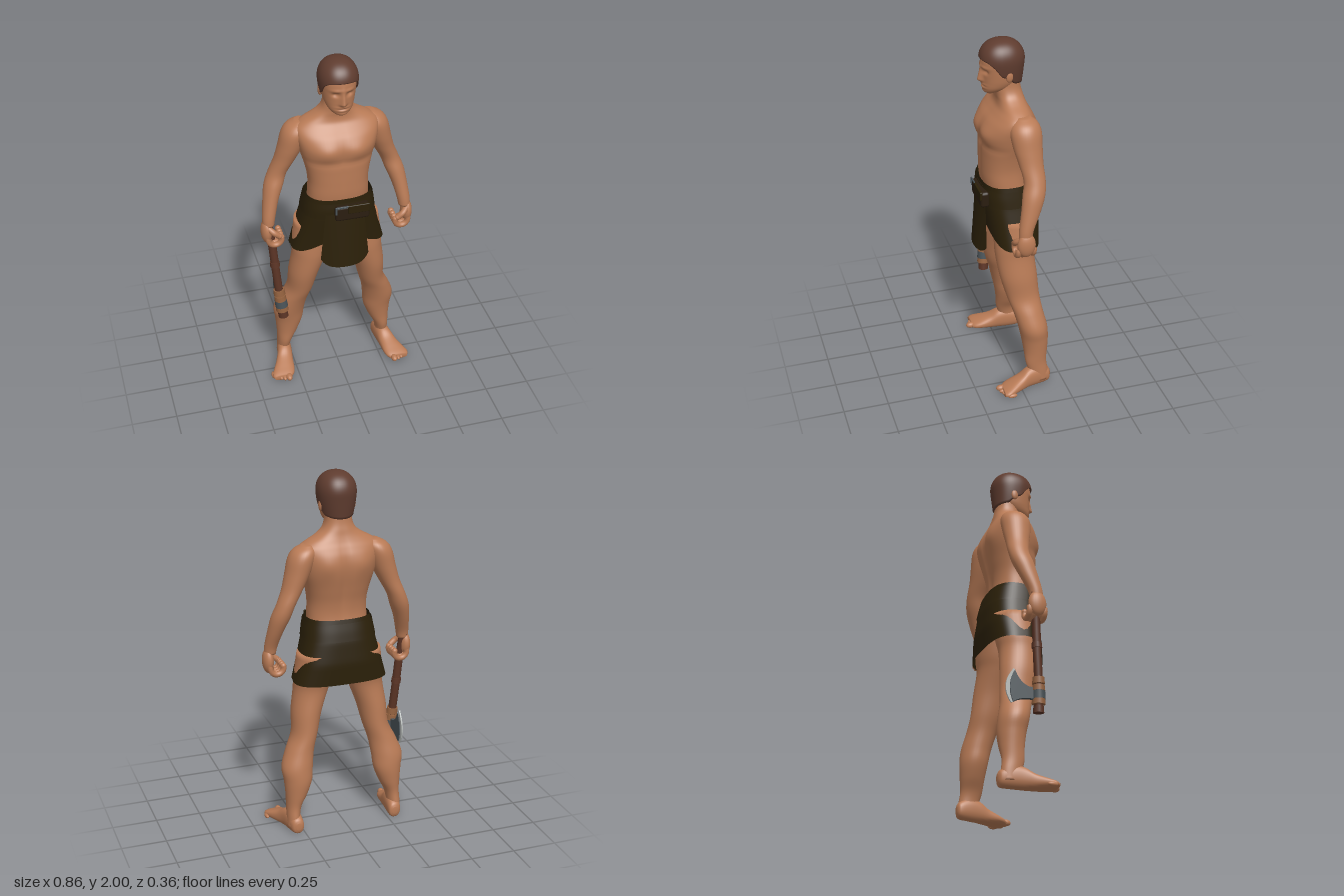
import * as THREE from 'three';
import { RoundedBoxGeometry } from 'three/addons/geometries/RoundedBoxGeometry.js';

const mat = (name, color, side = THREE.FrontSide) => {
  const m = new THREE.MeshStandardMaterial({ color, side });
  m.name = name;
  return m;
};
const V = (x, y, z) => new THREE.Vector3(x, y, z);
const bell = (d, w) => Math.exp(-(d * d) / (w * w));
const spow = (c, e) => Math.sign(c) * Math.pow(Math.abs(c), 2 / e);

// Closed-around grid surface; fn(v, angle) gives a point, v runs from bottom to top
function surface(rows, cols, fn, { caps = false, flip = false } = {}) {
  const pos = [], idx = [];
  const tri = (a, b, c) => (flip ? idx.push(a, c, b) : idx.push(a, b, c));
  for (let i = 0; i <= rows; i++)
    for (let j = 0; j < cols; j++) pos.push(...fn(i / rows, (j / cols) * Math.PI * 2).toArray());
  for (let i = 0; i < rows; i++)
    for (let j = 0; j < cols; j++) {
      const a = i * cols + j, b = i * cols + ((j + 1) % cols);
      tri(a, a + cols, b);
      tri(b, a + cols, b + cols);
    }
  if (caps)
    for (const row of [0, rows]) {
      const c = V(0, 0, 0), n = pos.length / 3;
      for (let j = 0; j < cols; j++) c.add(V(0, 0, 0).fromArray(pos, (row * cols + j) * 3));
      pos.push(...c.divideScalar(cols).toArray());
      for (let j = 0; j < cols; j++) {
        const a = row * cols + j, b = row * cols + ((j + 1) % cols);
        row ? tri(a, n, b) : tri(a, b, n);
      }
    }
  const g = new THREE.BufferGeometry();
  g.setAttribute('position', new THREE.Float32BufferAttribute(pos, 3));
  g.setIndex(idx);
  g.computeVertexNormals();
  return g;
}

// Smooth loft through level cross-sections [x, y, z, radiusX, radiusZ]
function loft(keys, { cols = 32, sub = 5, e = 2, warp, caps = true } = {}) {
  const curve = (pts) => new THREE.CatmullRomCurve3(pts, false, 'catmullrom', 0.5);
  const mid = curve(keys.map((k) => V(k[0], k[1], k[2])));
  const rad = curve(keys.map((k) => V(k[3], k[4], 0)));
  const flip = keys[keys.length - 1][1] < keys[0][1];
  return surface((keys.length - 1) * sub, cols, (v, a) => {
    const p = mid.getPoint(v), r = rad.getPoint(v);
    p.x += r.x * spow(Math.cos(a), e);
    p.z += r.y * spow(Math.sin(a), e);
    if (warp) warp(p, a);
    return p;
  }, { caps, flip });
}
// Section given by its front and back depth
const band = (y, front, back, rx) => [0, y, (front + back) / 2, rx, (front - back) / 2];

export function createModel() {
  const model = new THREE.Group();
  const skin = mat('skin', 0xb97b56), hairMat = mat('hair', 0x5f3c2f, THREE.DoubleSide);
  const leather = mat('dark leather', 0x2b2009, THREE.DoubleSide), pouchMat = mat('pouch leather', 0x2a1d10);
  const wood = mat('wood', 0x5b3425), steel = mat('steel', 0x4a5358);
  const edgeMat = mat('sharpened edge', 0xb4b8b6), cord = mat('cord', 0x94623f);
  const add = (name, geo, m, parent = model) => {
    const mesh = new THREE.Mesh(geo, m);
    mesh.name = name;
    parent.add(mesh);
    return mesh;
  };
  const ball = (name, m, parent, p, s) => {
    const b = add(name, new THREE.SphereGeometry(1, 20, 14), m, parent);
    b.position.set(...p);
    b.scale.set(...s);
    return b;
  };
  const tube = (pts, r, seg = 16) => new THREE.TubeGeometry(new THREE.CatmullRomCurve3(pts), seg, r, 10);

  // Torso and neck, with chest, spine and shoulder-blade relief
  add('torso', loft([
    band(1.0, 0.09, -0.14, 0.17), band(1.12, 0.115, -0.125, 0.168), band(1.22, 0.132, -0.108, 0.164),
    band(1.3, 0.135, -0.112, 0.163), band(1.38, 0.135, -0.13, 0.177), band(1.46, 0.135, -0.148, 0.2),
    band(1.52, 0.134, -0.153, 0.215), band(1.57, 0.113, -0.145, 0.225), band(1.61, 0.078, -0.128, 0.222),
    band(1.64, 0.055, -0.112, 0.185), band(1.67, 0.048, -0.1, 0.13), band(1.7, 0.05, -0.092, 0.092),
    band(1.74, 0.052, -0.082, 0.074), band(1.8, 0.04, -0.075, 0.07),
  ], {
    cols: 72, e: 2.4,
    warp: (p) => {
      const ax = Math.abs(p.x);
      if (p.z > 0.02) p.z += 0.016 * bell(ax - 0.085, 0.07) * bell(p.y - 1.5, 0.05)
        - 0.006 * bell(p.y - 1.435, 0.02) - 0.006 * bell(p.x, 0.015) * bell(p.y - 1.38, 0.17);
      if (p.z < -0.04) p.z += 0.014 * bell(p.x, 0.022) * bell(p.y - 1.42, 0.18)
        - 0.008 * bell(ax - 0.1, 0.05) * bell(p.y - 1.52, 0.06);
    },
  }), skin);

  // Head with brow, eye sockets, nose, mouth and chin
  add('head', loft([
    band(1.708, 0.098, 0.05, 0.022), band(1.722, 0.112, 0.015, 0.045), band(1.745, 0.118, -0.03, 0.066),
    band(1.775, 0.119, -0.065, 0.079), band(1.81, 0.121, -0.08, 0.086), band(1.85, 0.125, -0.088, 0.091),
    band(1.89, 0.126, -0.09, 0.094), band(1.93, 0.115, -0.085, 0.088), band(1.965, 0.08, -0.055, 0.06),
    band(1.98, 0.03, -0.01, 0.02),
  ], {
    cols: 96, sub: 7, e: 2.15,
    warp: (p) => {
      if (p.z < 0.04) return;
      const ax = Math.abs(p.x), t = (1.858 - p.y) / 0.07;
      const ridge = t > 0 && t < 1 ? 0.006 + 0.022 * t : t >= 1 ? 0.028 * bell(t - 1, 0.2) : 0.006 * bell(t, 0.3);
      p.z += ridge * bell(p.x, 0.011 + 0.006 * Math.max(0, Math.min(1, t)));
      p.z -= 0.014 * bell(ax - 0.036, 0.018) * bell(p.y - 1.838, 0.012);
      p.z += 0.006 * bell(ax - 0.035, 0.03) * bell(p.y - 1.862, 0.009);
      p.z += 0.006 * bell(p.x, 0.03) * (bell(p.y - 1.763, 0.007) + bell(p.y - 1.745, 0.007));
      p.z -= 0.005 * bell(p.x, 0.028) * bell(p.y - 1.754, 0.004);
      p.z += 0.005 * bell(p.x, 0.025) * bell(p.y - 1.722, 0.012);
    },
  }), skin);

  // Hair cap whose lower edge falls from forehead to nape
  const hairline = [[-1, 1.76], [-0.4, 1.775], [-0.05, 1.81], [0.2, 1.825], [0.5, 1.875], [0.75, 1.9], [1, 1.907]];
  const lineAt = (c) => {
    const i = Math.max(1, hairline.findIndex((h) => c <= h[0] + 1e-9));
    const [a, b] = [hairline[i - 1], hairline[i]];
    return a[1] + ((b[1] - a[1]) * (c - a[0])) / (b[0] - a[0]);
  };
  add('hair', surface(22, 64, (v, a) => {
    const low = lineAt(Math.sin(a)), w = Math.max(0, (v - 0.06) / 0.94);
    const y = 2 - (2 - low) * (1 - Math.cos(((1 - w) * Math.PI) / 2));
    const t = Math.min(1, Math.max(0, (y - 1.89) / 0.11)), d = Math.max(0, (1.89 - y) / 0.13);
    const dome = Math.pow(1 - Math.pow(t, 2.2), 1 / 2.2) * (v === 0 ? 0.86 : 1);
    return V(0.105 * (1 - 0.2 * d ** 1.5) * dome * spow(Math.cos(a), 2.2), y,
      0.015 + 0.12 * (1 - 0.12 * d) * dome * spow(Math.sin(a), 2.2));
  }), hairMat);

  // Limbs, made once for each side
  for (const s of [1, -1]) {
    const side = s > 0 ? 'left' : 'right';
    const flipX = (keys) => keys.map(([x, ...r]) => [x * s, ...r]);
    ball(side + 'Ear', skin, model, [s * 0.092, 1.822, 0], [0.011, 0.032, 0.02]);

    add(side + 'Arm', loft(flipX([
      [0.385, 1.03, 0, 0.032, 0.036], [0.379, 1.08, -0.008, 0.036, 0.04], [0.361, 1.17, -0.036, 0.043, 0.052],
      [0.338, 1.25, -0.058, 0.052, 0.06], [0.312, 1.32, -0.07, 0.051, 0.058], [0.274, 1.4, -0.062, 0.057, 0.065],
      [0.243, 1.48, -0.054, 0.067, 0.077], [0.218, 1.56, -0.05, 0.073, 0.083], [0.2, 1.605, -0.05, 0.063, 0.068],
      [0.185, 1.633, -0.05, 0.03, 0.035],
    ])), skin);

    // Curled hand, open through the fist
    const hand = new THREE.Group();
    hand.name = side + 'Hand';
    model.add(hand);
    ball('backOfHand', skin, hand, [s * 0.397, 0.99, -0.002], [0.031, 0.07, 0.05]);
    for (let i = 0; i < 4; i++) {
      const pts = [];
      for (let k = 0; k <= 9; k++) {
        const a = 0.45 - k * 0.43;
        pts.push(V(s * (0.358 + 0.036 * Math.cos(a)), 0.955 + 0.036 * Math.sin(a), -0.043 + i * 0.028));
      }
      add('finger', tube(pts, 0.0165), skin, hand);
      ball('fingertip', skin, hand, pts[9].toArray(), [0.0165, 0.0165, 0.0165]);
    }
    add('thumb', tube([V(s * 0.39, 1.02, 0.025), V(s * 0.365, 1.0, 0.045), V(s * 0.335, 0.975, 0.045)], 0.0165), skin, hand);
    ball('thumbTip', skin, hand, [s * 0.335, 0.975, 0.045], [0.0165, 0.0165, 0.0165]);

    add(side + 'Leg', loft(flipX([
      [0.298, 0.03, -0.115, 0.038, 0.058], [0.299, 0.09, -0.108, 0.036, 0.056], [0.292, 0.15, -0.097, 0.042, 0.06],
      [0.276, 0.22, -0.098, 0.061, 0.067], [0.265, 0.3, -0.095, 0.079, 0.076], [0.265, 0.38, -0.083, 0.088, 0.081],
      [0.242, 0.47, -0.062, 0.079, 0.083], [0.209, 0.56, -0.042, 0.072, 0.092], [0.19, 0.68, -0.022, 0.083, 0.104],
      [0.16, 0.8, -0.01, 0.096, 0.108], [0.145, 0.88, -0.015, 0.108, 0.115], [0.12, 1.02, -0.025, 0.115, 0.12],
    ])), skin);

    // Foot runs from heel to toes along z, with a flat sole
    const foot = loft(flipX([
      [0.287, -0.18, -0.045, 0.015, 0.02], [0.289, -0.165, -0.045, 0.034, 0.045], [0.296, -0.11, -0.055, 0.041, 0.062],
      [0.305, -0.05, -0.052, 0.044, 0.06], [0.318, 0.0, -0.036, 0.051, 0.044], [0.334, 0.055, -0.026, 0.062, 0.03],
      [0.345, 0.09, -0.02, 0.063, 0.022], [0.35, 0.112, -0.016, 0.05, 0.016],
    ]), { e: 2.3 });
    foot.rotateX(Math.PI / 2);
    const fp = foot.attributes.position;
    for (let i = 0; i < fp.count; i++) fp.setY(i, Math.max(0, fp.getY(i)));
    foot.computeVertexNormals();
    add(side + 'Foot', foot, skin);
    for (let i = 0; i < 5; i++) {
      const r = i ? 0.0125 : 0.018;
      ball(side + 'Toe', skin, model, [s * (0.318 + i * 0.019 + (i ? 0.006 : 0)), r, 0.116 - i * 0.011], [r, r, 0.028]);
    }
  }

  // Skirt with a hem that rises towards the front flap
  const skirt = [band(1.22, 0.138, -0.122, 0.176), band(1.1, 0.14, -0.152, 0.2),
    band(0.98, 0.125, -0.165, 0.232), band(0.85, 0.11, -0.158, 0.264)];
  const skirtAt = (y) => {
    const f = Math.min(2.999, Math.max(0, (1.22 - y) / 0.1233)), i = Math.floor(f);
    return skirt[i].map((k, n) => k + (skirt[i + 1][n] - k) * (f - i));
  };
  add('skirt', surface(16, 80, (v, a) => {
    const notch = Math.sin(a) > 0 ? 0.09 * bell(Math.cos(a), 0.62) : 0;
    const low = 0.855 + notch, y = low + (1.215 - low) * v;
    const k = skirtAt(y), e = 2.9 - 0.3 * v;
    return V(k[3] * spow(Math.cos(a), e), y, k[2] + k[4] * spow(Math.sin(a), e));
  }), leather);
  add('belt', loft([band(1.1, 0.147, -0.158, 0.204), band(1.15, 0.15, -0.147, 0.196), band(1.195, 0.146, -0.135, 0.188)],
    { cols: 64, e: 2.6, caps: false }), leather);

  // Front flap, bowed outwards with a rounded lower edge
  const flap = new THREE.PlaneGeometry(2, 1, 20, 16);
  const q = flap.attributes.position;
  for (let i = 0; i < q.count; i++) {
    const u = q.getX(i), t = 0.5 - q.getY(i);
    q.setXYZ(i, 0.005 + u * (0.105 + 0.03 * t), 1.14 - t * (0.34 - 0.045 * Math.abs(u) ** 5),
      0.151 + 0.031 * t - u * u * (0.012 + 0.028 * t));
  }
  flap.computeVertexNormals();
  add('frontFlap', flap, leather);

  // Belt pouch with lid and metal trim
  const box = (name, w, h, d, x, y, z, m) => add(name, new RoundedBoxGeometry(w, h, d, 2, Math.min(w, h, d) * 0.3), m).position.set(x, y, z);
  box('pouch', 0.19, 0.09, 0.05, 0.042, 1.14, 0.145, pouchMat);
  box('pouchLid', 0.12, 0.05, 0.014, 0.075, 1.165, 0.168, leather);
  box('pouchTrim', 0.09, 0.01, 0.008, -0.01, 1.184, 0.17, steel);
  box('pouchTrimSide', 0.01, 0.045, 0.008, -0.05, 1.165, 0.17, steel);

  // Hand axe in the right hand
  const axe = new THREE.Group();
  axe.name = 'axe';
  model.add(axe);
  const path = [V(-0.388, 1.06, -0.015), V(-0.371, 0.92, 0), V(-0.356, 0.74, 0.012), V(-0.341, 0.57, 0.025), V(-0.323, 0.41, 0.032)];
  add('handle', tube(path, 0.023, 30), wood, axe);
  const grip = new THREE.CatmullRomCurve3(path);
  for (const [name, t, r, h, m] of [['handleEnd', 0.003, 0.025, 0.014, wood], ['knot', 0.45, 0.028, 0.03, wood],
    ['binding', 0.74, 0.033, 0.035, cord], ['binding', 0.8, 0.034, 0.03, cord], ['axeSocket', 0.855, 0.036, 0.045, steel],
    ['binding', 0.91, 0.036, 0.03, cord], ['handleFoot', 0.975, 0.029, 0.035, wood]]) {
    const c = add(name, new THREE.CylinderGeometry(r * 0.93, r, h, 14), m, axe);
    c.position.copy(grip.getPointAt(t));
    c.quaternion.setFromUnitVectors(V(0, 1, 0), grip.getTangentAt(t).negate());
  }
  const plate = (name, depth, m, draw) => {
    const sh = new THREE.Shape();
    draw(sh);
    const g = new THREE.ExtrudeGeometry(sh, { depth, bevelEnabled: false, curveSegments: 10 });
    g.translate(0, 0, -depth / 2).rotateY(Math.PI / 2);
    add(name, g, m, axe).position.x = -0.332;
  };
  plate('blade', 0.02, steel, (p) => {
    p.moveTo(-0.03, 0.475).lineTo(0.03, 0.475).quadraticCurveTo(0.08, 0.47, 0.115, 0.445);
    p.quadraticCurveTo(0.155, 0.53, 0.105, 0.62).quadraticCurveTo(0.08, 0.555, 0.03, 0.54).lineTo(-0.03, 0.535);
  });
  plate('bladeEdge', 0.008, edgeMat, (p) => {
    p.moveTo(0.112, 0.445).lineTo(0.125, 0.44).quadraticCurveTo(0.19, 0.53, 0.11, 0.63);
    p.lineTo(0.1, 0.62).quadraticCurveTo(0.15, 0.53, 0.112, 0.445);
  });
  return model;
}
